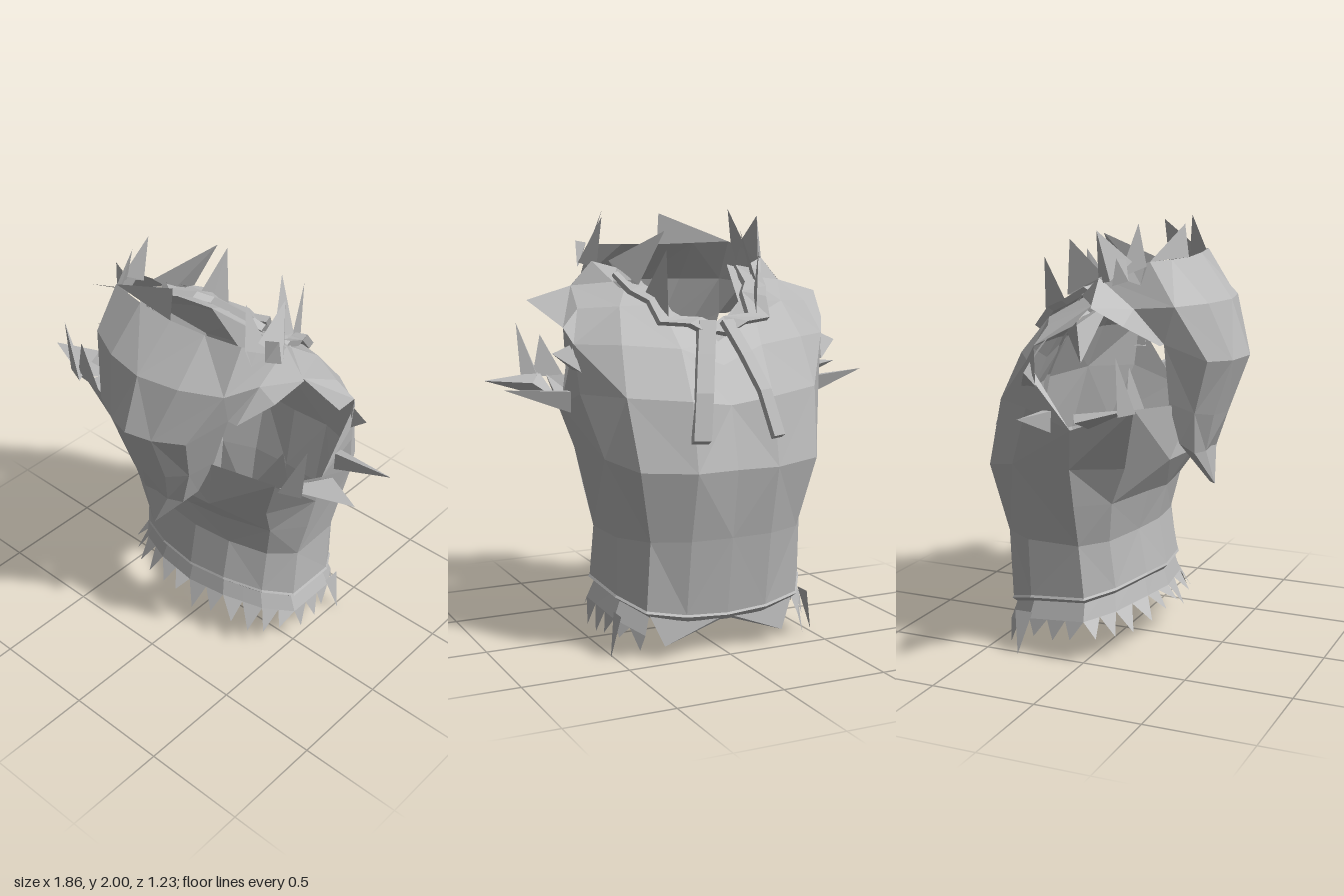
import * as THREE from 'three';

const cloth = new THREE.MeshStandardMaterial({ color: 0xb8b8b8, flatShading: true, side: THREE.DoubleSide });
cloth.name = 'grey cloth';

const flip = ([x, y, z]) => [-x, y, z];
const frontRow = (h) => [...h.slice(1).reverse().map(flip), ...h];      // centre -> left becomes right -> left
const backRow = (h) => [...h, ...h.slice(0, -1).reverse().map(flip)];   // left -> centre becomes left -> right

function meshOf(name, tris) {
  const g = new THREE.BufferGeometry();
  g.setAttribute('position', new THREE.Float32BufferAttribute(tris.flat(2), 3));
  g.computeVertexNormals();
  const m = new THREE.Mesh(g, cloth);
  m.name = name;
  return m;
}

// Skin a list of rows, each with the same number of points
function loft(rows) {
  const t = [];
  for (let r = 0; r < rows.length - 1; r++) {
    for (let c = 0; c < rows[r].length - 1; c++) {
      const a = rows[r][c], b = rows[r][c + 1], d = rows[r + 1][c], e = rows[r + 1][c + 1];
      if ((r + c) % 2) t.push([a, b, e], [a, e, d]);
      else t.push([a, b, d], [b, e, d]);
    }
  }
  return t;
}

// Sharp rag: three base points meeting at a tip
const spike = (tip, a, b, c) => [[a, b, tip], [b, c, tip], [c, a, tip]];

// Flat strap of rectangular section following points; side gives its width direction
function strap(points, side, thick) {
  const rows = points.map(([x, y, z], i) => {
    const w = side(i);
    const p = (s, d) => [x + s * w[0], y + s * w[1] + d * thick * 0.6, z + s * w[2] - d * thick];
    return [p(-1, 0), p(-1, 1), p(1, 1), p(1, 0), p(-1, 0)];
  });
  const caps = [rows[0], rows[rows.length - 1]].flatMap((q) => [[q[0], q[1], q[2]], [q[0], q[2], q[3]]]);
  return [...loft(rows), ...caps];
}

const mirrorTris = (t) => t.map(([a, b, c]) => [flip(a), flip(c), flip(b)]);

export function createModel() {
  const model = new THREE.Group();
  model.name = 'tornVest';
  const add = (name, t) => model.add(meshOf(name, t));
  const addPair = (name, t) => {
    add(name + 'Left', t);
    add(name + 'Right', mirrorTris(t));
  };

  // Chest panel, hem to open top
  const front = [
    [[0, 0.36, 0.21], [0.2, 0.37, 0.19], [0.38, 0.34, 0.11], [0.49, 0.31, 0]],
    [[0, 0.58, 0.17], [0.2, 0.58, 0.15], [0.38, 0.56, 0.08], [0.48, 0.55, -0.03]],
    [[0, 0.75, 0.21], [0.2, 0.77, 0.2], [0.42, 0.75, 0.11], [0.53, 0.75, -0.03]],
    [[0, 0.93, 0.33], [0.22, 0.93, 0.31], [0.46, 0.93, 0.19], [0.57, 0.93, -0.03]],
    [[0, 1.1, 0.32], [0.25, 1.19, 0.33], [0.59, 1.23, 0.29], [0.62, 1.12, 0]],
  ];
  add('chestPanel', loft(front.map(frontRow)));

  // Back panel, rising over the shoulders to the neck opening
  const back = [
    [[0.49, 0.31, 0], [0.47, 0.28, -0.28], [0.38, 0.23, -0.42], [0.2, 0.2, -0.46], [0, 0.19, -0.47]],
    [[0.48, 0.55, -0.03], [0.47, 0.55, -0.29], [0.37, 0.55, -0.44], [0.2, 0.55, -0.51], [0, 0.55, -0.52]],
    [[0.57, 0.93, -0.03], [0.54, 0.92, -0.33], [0.44, 0.88, -0.5], [0.2, 0.87, -0.58], [0, 0.87, -0.57]],
    [[0.62, 1.12, 0], [0.61, 1.2, -0.22], [0.47, 1.2, -0.42], [0.2, 1.18, -0.52], [0, 1.15, -0.5]],
    [[0.65, 1.32, -0.15], [0.63, 1.42, -0.2], [0.45, 1.42, -0.32], [0.2, 1.4, -0.4], [0, 1.32, -0.42]],
    [[0.66, 1.49, -0.15], [0.58, 1.57, -0.12], [0.41, 1.58, -0.2], [0.22, 1.52, -0.3], [0, 1.42, -0.36]],
    [[0.75, 1.6, 0.08], [0.54, 1.66, 0.07], [0.25, 1.74, 0.05], [0.2, 1.58, -0.17], [0, 1.45, -0.31]],
  ];
  add('backPanel', loft(back.map(backRow)));

  // Inside fold at the back of the neck
  const fold = [[[0, 1.45, -0.31], [0.2, 1.58, -0.17], [0, 1.3, -0.24]]];
  add('neckFold', [...fold, ...mirrorTris(fold)]);

  // Hem lip turned under below the waist
  const hem = [...frontRow(front[0]), ...backRow(back[0]).slice(1)];
  const ring = (s, dy) => hem.map(([x, y, z]) => [x * s, y + dy, (z + 0.13) * s - 0.13]);
  add('hemLip', loft([ring(0.95, -0.035), ring(1.015, -0.01), ring(1, 0)]));

  // Torn fringe around the front and sides of the hem
  let seed = 7;
  const rnd = () => (seed = (seed * 16807) % 2147483647) / 2147483647;
  const fringe = [];
  const top = ring(0.96, -0.03), low = ring(1.03, -0.11);
  const mix = (a, b, t) => a.map((v, k) => v + (b[k] - v) * t);
  for (let i = 0; i < hem.length - 1; i++) {
    if (hem[i][2] < -0.4 && hem[i + 1][2] < -0.4) continue;
    const n = Math.max(1, Math.round(Math.hypot(hem[i + 1][0] - hem[i][0], hem[i + 1][2] - hem[i][2]) / 0.1));
    for (let j = 0; j < n; j++) {
      const a = mix(top[i], top[i + 1], j / n), b = mix(top[i], top[i + 1], (j + 1) / n);
      const c = mix(low[i], low[i + 1], j / n), d = mix(low[i], low[i + 1], (j + 1) / n);
      const m = mix(c, d, 0.2 + rnd() * 0.6), out = 1.02 + rnd() * 0.04;
      const flare = m[2] > 0 ? 0.05 : 0;
      const tip = [m[0] * out, m[1] - 0.05 - rnd() * 0.07, (m[2] + 0.13) * out - 0.13 + flare];
      fringe.push([c, d, b], [c, b, a], [tip, d, c]);
    }
  }
  // Larger torn flaps across the back, and one long tip at each side
  const flaps = [
    [[0, 0.18, -0.46], [0.37, 0.22, -0.41], [0.3, 0.06, -0.44]],
    [[0, 0.18, -0.46], [0.3, 0.06, -0.44], [0, 0.165, -0.45]],
    [[0.52, 0, -0.33], [0.48, 0.2, -0.36], [0.48, 0.2, -0.27]],
  ];
  add('tornFringe', [...fringe, ...flaps, ...mirrorTris(flaps)]);

  // Scarf bulging forward, from the pointed tip up to the face opening
  const scarf = [
    [[0, 0.78, 0.45], [0, 0.78, 0.45], [0, 0.78, 0.45], [0.01, 0.79, 0.43]],
    [[0, 0.96, 0.43], [0.07, 0.95, 0.43], [0.14, 0.95, 0.4], [0.18, 1.0, 0.34]],
    [[0, 1.13, 0.51], [0.11, 1.13, 0.48], [0.2, 1.15, 0.42], [0.26, 1.2, 0.32]],
    [[0, 1.4, 0.61], [0.12, 1.39, 0.57], [0.26, 1.4, 0.5], [0.35, 1.48, 0.33]],
    [[0, 1.65, 0.52], [0.2, 1.65, 0.48], [0.38, 1.65, 0.39], [0.43, 1.64, 0.22]],
    [[0, 1.83, 0.31], [0.19, 1.835, 0.3], [0.37, 1.84, 0.27], [0.44, 1.77, 0.06]],
  ];
  add('scarf', loft(scarf.map(frontRow)));
  add('scarfRaisedFlap', [[[-0.37, 1.84, 0.27], [0, 1.83, 0.31], [0, 1.98, 0.29]]]);

  // Straps running from the scarf up to the shoulders, and on to the neck
  addPair('shoulderStrap', loft([
    [[0.35, 1.48, 0.33], [0.43, 1.64, 0.22], [0.44, 1.77, 0.06]],
    [[0.4, 1.48, 0.33], [0.5, 1.57, 0.2], [0.55, 1.65, 0.07]],
  ]));
  addPair('neckStrap', loft([
    [[0.54, 1.66, 0.07], [0.38, 1.68, -0.05], [0.33, 1.62, -0.1]],
    [[0.44, 1.77, 0.06], [0.34, 1.74, 0], [0.3, 1.69, -0.11]],
  ]));

  // Lumpy collar around the back of the neck and the two hanging straps
  const collar = [[0.33, 1.71, 0.02], [0.3, 1.64, -0.12], [0.25, 1.6, -0.2], [0.23, 1.51, -0.29], [0.1, 1.5, -0.31], [0, 1.45, -0.33]];
  addPair('neckCollar', strap(collar, (i) => [0.045, -0.01, i % 2 ? -0.02 : -0.035], 0.03));
  const hang = [[0.05, 1.5, -0.33], [0.1, 1.36, -0.42], [0.15, 1.2, -0.51], [0.19, 1.0, -0.57]];
  addPair('hangingStrap', strap(hang, () => [0.035, 0, 0.015], 0.03));

  // Torn spikes along the scarf and collar
  addPair('scarfSpikes', [
    ...spike([0.33, 2, 0.2], [0.38, 1.82, 0.26], [0.43, 1.77, 0.15], [0.4, 1.74, 0.24]),
    ...spike([0.4, 1.97, 0.03], [0.4, 1.84, 0.2], [0.48, 1.76, 0.13], [0.42, 1.74, 0.05]),
    ...spike([0.48, 1.86, 0.16], [0.42, 1.85, 0.18], [0.48, 1.74, 0.14], [0.44, 1.76, 0.2]),
    ...spike([0.19, 1.91, -0.2], [0.36, 1.77, 0.05], [0.3, 1.67, -0.16], [0.33, 1.68, -0.05]),
    ...spike([0.23, 1.83, -0.31], [0.28, 1.62, -0.17], [0.22, 1.52, -0.31], [0.25, 1.55, -0.22]),
  ]);

  // Torn spikes and shards around the armholes
  addPair('armholeSpikes', [
    ...spike([0.93, 1.23, 0.17], [0.62, 1.24, 0.3], [0.73, 1.22, 0.07], [0.6, 1.13, 0.08]),
    ...spike([0.92, 1.22, -0.1], [0.62, 1.2, -0.09], [0.62, 1.2, -0.13], [0.61, 1.1, -0.1]),
    ...spike([0.72, 1.38, -0.17], [0.63, 1.42, -0.18], [0.62, 1.3, -0.16], [0.61, 1.3, -0.24]),
    ...spike([0.74, 1.48, 0.27], [0.62, 1.22, 0.31], [0.72, 1.22, 0.27], [0.64, 1.22, 0.26]),
    [[0.5, 1.22, 0.3], [0.66, 1.22, 0.28], [0.62, 1.42, 0.28]],
  ]);

  return model;
}
